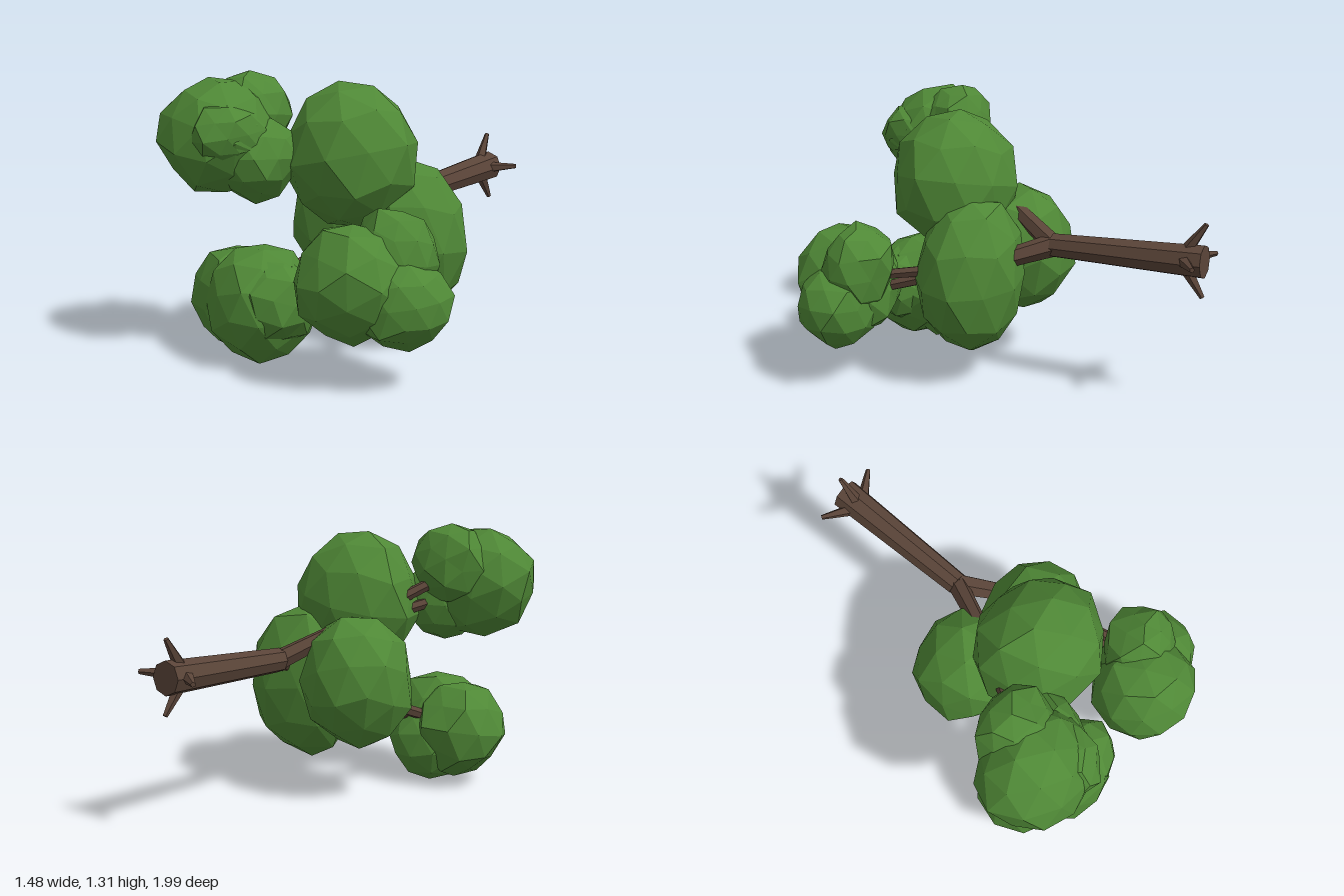
import * as THREE from 'three';

const leafMat = new THREE.MeshStandardMaterial({ color: 0x4f8836, flatShading: true });
leafMat.name = 'leaf green';
const barkMat = new THREE.MeshStandardMaterial({ color: 0x5a4438, flatShading: true });
barkMat.name = 'bark brown';

// Repeatable noise in -1..1 from a vertex direction and a seed
function noise(v, seed) {
  const a = Math.round(v.x * 100), b = Math.round(v.y * 100), c = Math.round(v.z * 100);
  const s = Math.sin(a * 12.9898 + b * 78.233 + c * 37.719 + seed * 4.137) * 43758.5453;
  return (s - Math.floor(s)) * 2 - 1;
}

// Faceted lump of leaves
function leafClump(name, centre, radii, seed, rough = 0.1) {
  const geo = new THREE.IcosahedronGeometry(1, 1);
  const pos = geo.attributes.position;
  const turn = new THREE.Euler(seed * 1.3, seed * 0.7, seed * 2.1);
  const v = new THREE.Vector3();
  for (let i = 0; i < pos.count; i++) {
    v.fromBufferAttribute(pos, i);
    const r = 1 + rough * noise(v, seed);
    v.multiplyScalar(r).applyEuler(turn);
    pos.setXYZ(i, v.x, v.y, v.z);
  }
  geo.scale(...radii);
  geo.computeVertexNormals();
  const mesh = new THREE.Mesh(geo, leafMat);
  mesh.name = name;
  mesh.position.set(...centre);
  return mesh;
}

// Tapered round of wood between two points
function limb(name, from, to, r0, r1, sides = 6) {
  const a = new THREE.Vector3(...from), b = new THREE.Vector3(...to);
  const dir = b.clone().sub(a);
  const mesh = new THREE.Mesh(new THREE.CylinderGeometry(r1, r0, dir.length(), sides), barkMat);
  mesh.name = name;
  mesh.position.copy(a).add(b).multiplyScalar(0.5);
  mesh.quaternion.setFromUnitVectors(new THREE.Vector3(0, 1, 0), dir.normalize());
  return mesh;
}

export function createModel() {
  const tree = new THREE.Group();
  tree.name = 'fallenTree';

  // Trunk lying along z
  const fork = [0.065, 0.685, -0.24];
  tree.add(limb('trunk', [0.05, 0.705, -0.98], fork, 0.078, 0.058, 8));

  // Roots flaring round the trunk's end
  const roots = new THREE.Group();
  roots.name = 'roots';
  for (let i = 0; i < 4; i++) {
    const t = Math.PI / 2 * i + 0.05;
    const at = (r, z) => [0.05 + Math.cos(t) * r, 0.708 + Math.sin(t) * r, z];
    roots.add(limb('root', at(0.05, -0.9), at(0.17, -0.98), 0.03, 0.012, 5));
  }
  tree.add(roots);

  // Branches: [from, to, start radius, end radius]
  const left = [0.27, 0.6, 0.04], right = [-0.06, 0.8, 0.02], low = [-0.16, 0.48, 0.12];
  const branches = new THREE.Group();
  branches.name = 'branches';
  [
    [fork, left, 0.055, 0.04],
    [fork, right, 0.05, 0.04],
    [right, low, 0.04, 0.035],
    [left, [0.4, 0.43, 0.6], 0.035, 0.025],
    [left, [0.42, 0.52, 0.55], 0.03, 0.025],
    [low, [-0.3, 0.3, 0.6], 0.035, 0.025],
    [low, [-0.17, 0.28, 0.6], 0.03, 0.025],
    [right, [-0.4, 1.08, 0.55], 0.035, 0.025],
    [right, [-0.36, 0.95, 0.55], 0.035, 0.025],
  ].forEach(b => branches.add(limb('branch', ...b)));
  tree.add(branches);

  // Foliage: [name, centre, radii, seed, roughness]
  const foliage = new THREE.Group();
  foliage.name = 'foliage';
  [
    ['topClump', [0.025, 0.93, 0.31], [0.32, 0.345, 0.3], 1, 0.05],
    ['backLeftClump', [0.205, 0.525, 0.12], [0.305, 0.385, 0.25], 2, 0.05],
    ['backRightClump', [-0.18, 0.57, 0.05], [0.275, 0.32, 0.265], 3, 0.05],
    ['upperRightClump', [-0.455, 1.02, 0.68], [0.285, 0.265, 0.255], 4, 0.07],
    ['upperRightClumpCrown', [-0.39, 1.11, 0.52], [0.2, 0.2, 0.17], 5],
    ['upperRightClumpSide', [-0.29, 0.93, 0.61], [0.19, 0.2, 0.2], 6],
    ['upperRightClumpFront', [-0.34, 1.05, 0.75], [0.16, 0.15, 0.18], 7],
    ['lowerRightClump', [-0.22, 0.275, 0.67], [0.255, 0.265, 0.25], 8, 0.07],
    ['lowerRightClumpOuter', [-0.39, 0.27, 0.61], [0.23, 0.24, 0.23], 9],
    ['lowerRightClumpInner', [-0.11, 0.3, 0.71], [0.19, 0.19, 0.18], 10],
    ['lowerRightClumpBack', [-0.25, 0.21, 0.56], [0.21, 0.2, 0.19], 11],
    ['lowerLeftClump', [0.33, 0.46, 0.74], [0.26, 0.265, 0.255], 12, 0.07],
    ['lowerLeftClumpCrown', [0.455, 0.57, 0.6], [0.2, 0.21, 0.17], 13],
    ['lowerLeftClumpOuter', [0.535, 0.39, 0.68], [0.21, 0.2, 0.2], 14],
    ['lowerLeftClumpBack', [0.39, 0.44, 0.63], [0.2, 0.22, 0.19], 15],
  ].forEach(c => foliage.add(leafClump(...c)));
  tree.add(foliage);

  return tree;
}
